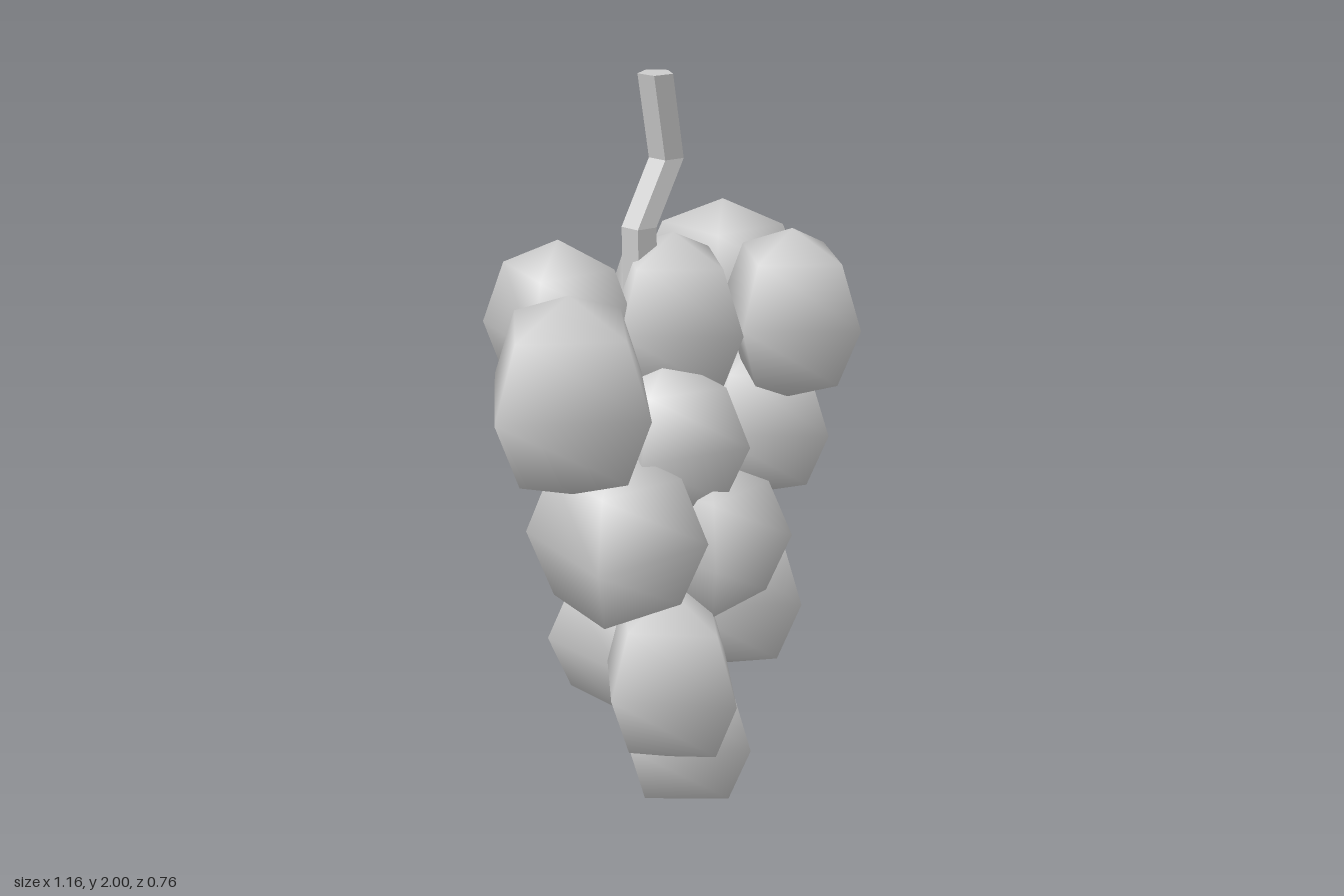
import * as THREE from 'three';

const skin = new THREE.MeshStandardMaterial({ color: 0xcccccc });
const wood = new THREE.MeshStandardMaterial({ color: 0xcccccc, flatShading: true });

// Four-sided smooth berry: centre, radii, turn about y in degrees
const berries = [
  // top tier
  [-0.335, 1.33, 0.01, 0.245, 0.243, 0.247, 0],
  [-0.155, 1.41, -0.193, 0.205, 0.217, 0.195, 27],
  [0.075, 1.41, -0.03, 0.19, 0.217, 0.22, 0],
  [0.29, 1.41, 0.165, 0.187, 0.217, 0.213, 0],
  [0.404, 1.41, -0.143, 0.184, 0.217, 0.22, 35],
  // middle tier
  [0, 1.13, 0.015, 0.187, 0.21, 0.213, 22],
  [0.39, 1.07, 0.005, 0.187, 0.215, 0.22, 0],
  [0.285, 1.07, -0.165, 0.187, 0.19, 0.215, 0],
  [-0.19, 0.925, 0.016, 0.226, 0.237, 0.226, 31],
  [0.09, 0.845, 0.075, 0.205, 0.215, 0.215, 45],
  [0.06, 0.84, -0.115, 0.187, 0.215, 0.213, 0],
  // bottom tier
  [0.295, 0.625, -0.03, 0.225, 0.262, 0.256, 0],
  [-0.09, 0.535, 0.1, 0.2, 0.24, 0.236, -5],
  [0, 0.52, -0.135, 0.19, 0.2, 0.2, 40],
  [0.125, 0.25, -0.045, 0.205, 0.25, 0.245, 0],
];

// Five-sided stalk with a level ring at each path point
function stalk(name, path, radius) {
  const rows = path.length - 1;
  const geo = new THREE.CylinderGeometry(radius, radius, rows, 5, rows, false, Math.PI / 2);
  const pos = geo.attributes.position;
  for (let i = 0; i < pos.count; i++) {
    const [x, y, z] = path[Math.round(rows / 2 - pos.getY(i))];
    pos.setXYZ(i, pos.getX(i) + x, y, pos.getZ(i) + z);
  }
  geo.computeVertexNormals();
  const mesh = new THREE.Mesh(geo, wood);
  mesh.name = name;
  return mesh;
}

export function createModel() {
  const model = new THREE.Group();
  model.name = 'grapeBunch';

  const fruit = new THREE.Group();
  fruit.name = 'grapes';
  const ball = new THREE.SphereGeometry(1, 4, 4);
  berries.forEach(([x, y, z, rx, ry, rz, turn], i) => {
    const grape = new THREE.Mesh(ball, skin);
    grape.name = `grape${i + 1}`;
    grape.position.set(x, y, z);
    grape.scale.set(rx, ry, rz);
    grape.rotation.y = THREE.MathUtils.degToRad(turn);
    fruit.add(grape);
  });
  model.add(fruit);

  // Crooked main stem running down inside the bunch
  model.add(stalk('stem', [
    [0.075, 2, -0.085], [0.115, 1.795, -0.085], [0.015, 1.645, -0.085],
    [0.02, 1.45, -0.085], [0.15, 1.15, -0.08], [0.1, 0.6, -0.04],
  ], 0.044));
  return model;
}
